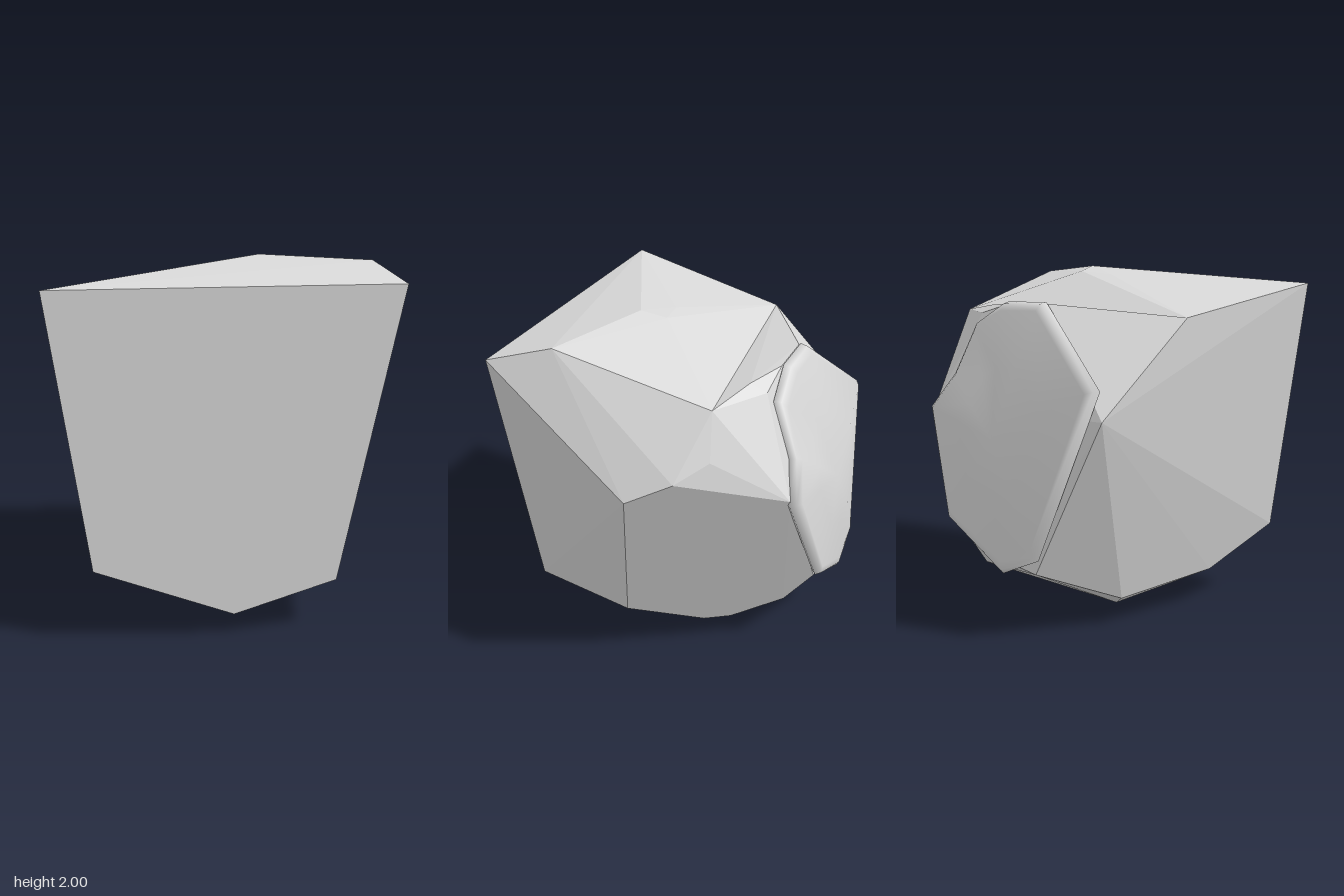
import * as THREE from 'three';
import { ConvexGeometry } from 'three/addons/geometries/ConvexGeometry.js';

const stone = new THREE.MeshStandardMaterial({ color: 0xd8d8d8, side: THREE.DoubleSide });
stone.name = 'pale grey stone';

const toVectors = (list) => list.map((p) => new THREE.Vector3(...p));

function add(group, name, geometry) {
  const mesh = new THREE.Mesh(geometry, stone);
  mesh.name = name;
  group.add(mesh);
}

// Corners shared by the boulder and the ridge behind its top
const topRightBack = [-0.87, 1.705, -0.15];
const topLeftBack = [0.65, 1.735, -0.33];
const backRight = [-0.78, 1.2, -0.72];
const backLeft = [0.507, 1.2, -0.72];

// Faceted boulder: corners of its flat, broken faces
function boulderGeometry() {
  return new ConvexGeometry(toVectors([
    topRightBack, topLeftBack, backRight, backLeft,
    // front face
    [-1, 1.89, 0.85], [0.855, 1.89, 0.85], [0.525, 0.285, 0.85], [-0.04, 0.12, 0.85], [-0.79, 0.415, 0.85],
    // top
    [0.77, 1.98, 0.5], [0.185, 2, 0.28], [0.15, 1.965, 0.14], [0, 1.98, 0.36], [-0.06, 1.94, 0.18],
    // left side of the model
    [1, 1.305, 0.01], [0.9, 1.41, -0.22], [0.75, 1.49, -0.36], [0.67, 1.37, -0.44], [0.715, 0.35, 0.17],
    // back
    [0.18, 0.5, -0.79], [0.2, 0.285, -0.62], [-0.27, 0.38, -0.8], [-0.38, 0.36, -0.79],
    // underside
    [0.328, 0.155, -0.33], [0.414, 0.155, -0.19], [0.31, 0.105, -0.13], [-0.28, 0, -0.02],
    [-0.23, 0.07, 0.32], [-0.43, 0.105, 0.42], [-0.67, 0.2, 0.38], [-0.55, 0.15, -0.29],
  ]));
}

// Ridge rising behind a shallow valley across the top
function ridgeGeometry() {
  return new ConvexGeometry(toVectors([
    topRightBack, topLeftBack, backRight, backLeft,
    [-0.2, 1.775, -0.51], [0.1, 1.775, -0.51], [0.34, 1.765, -0.42], [0.33, 1.72, -0.51], [0.5, 1.43, -0.54],
  ]));
}

// Smooth domed slab: rings from the buried edge, over a rounded rim, to the middle
function slabGeometry() {
  const outline = toVectors([
    [0.52, 1.18, -0.72], [0.37, 1.38, -0.66], [0.31, 1.67, -0.54], [0.1, 1.785, -0.52], [-0.2, 1.785, -0.52],
    [-0.75, 1.35, -0.7], [-0.43, 0.45, -0.82], [-0.18, 0.34, -0.84], [0.26, 0.57, -0.82],
  ]);
  const centre = new THREE.Vector3(-0.08, 1.05, -0.76);
  const rings = [[0.96, -0.02], [1, 0], [0.975, 0.035], [0.92, 0.055], [0.5, 0.065]]; // [scale, lift]
  const n = outline.length;
  const positions = [];
  const index = [];
  for (const [scale, lift] of rings) {
    for (const p of outline) {
      const v = p.clone().sub(centre).multiplyScalar(scale).add(centre);
      positions.push(v.x, v.y + lift * 0.2, Math.max(v.z - lift, -0.855));
    }
  }
  for (let r = 0; r < rings.length - 1; r++) {
    for (let i = 0; i < n; i++) {
      const a = r * n + i, b = r * n + (i + 1) % n;
      index.push(a, b, b + n, a, b + n, a + n);
    }
  }
  const last = (rings.length - 1) * n;
  positions.push(centre.x, centre.y, -0.825);
  for (let i = 0; i < n; i++) index.push(last + i, last + (i + 1) % n, rings.length * n);
  const geometry = new THREE.BufferGeometry();
  geometry.setAttribute('position', new THREE.Float32BufferAttribute(positions, 3));
  geometry.setIndex(index);
  geometry.computeVertexNormals();
  return geometry;
}

export function createModel() {
  const group = new THREE.Group();
  group.name = 'rock';
  add(group, 'boulder', boulderGeometry());
  add(group, 'topRidge', ridgeGeometry());
  add(group, 'backSlab', slabGeometry());
  return group;
}
